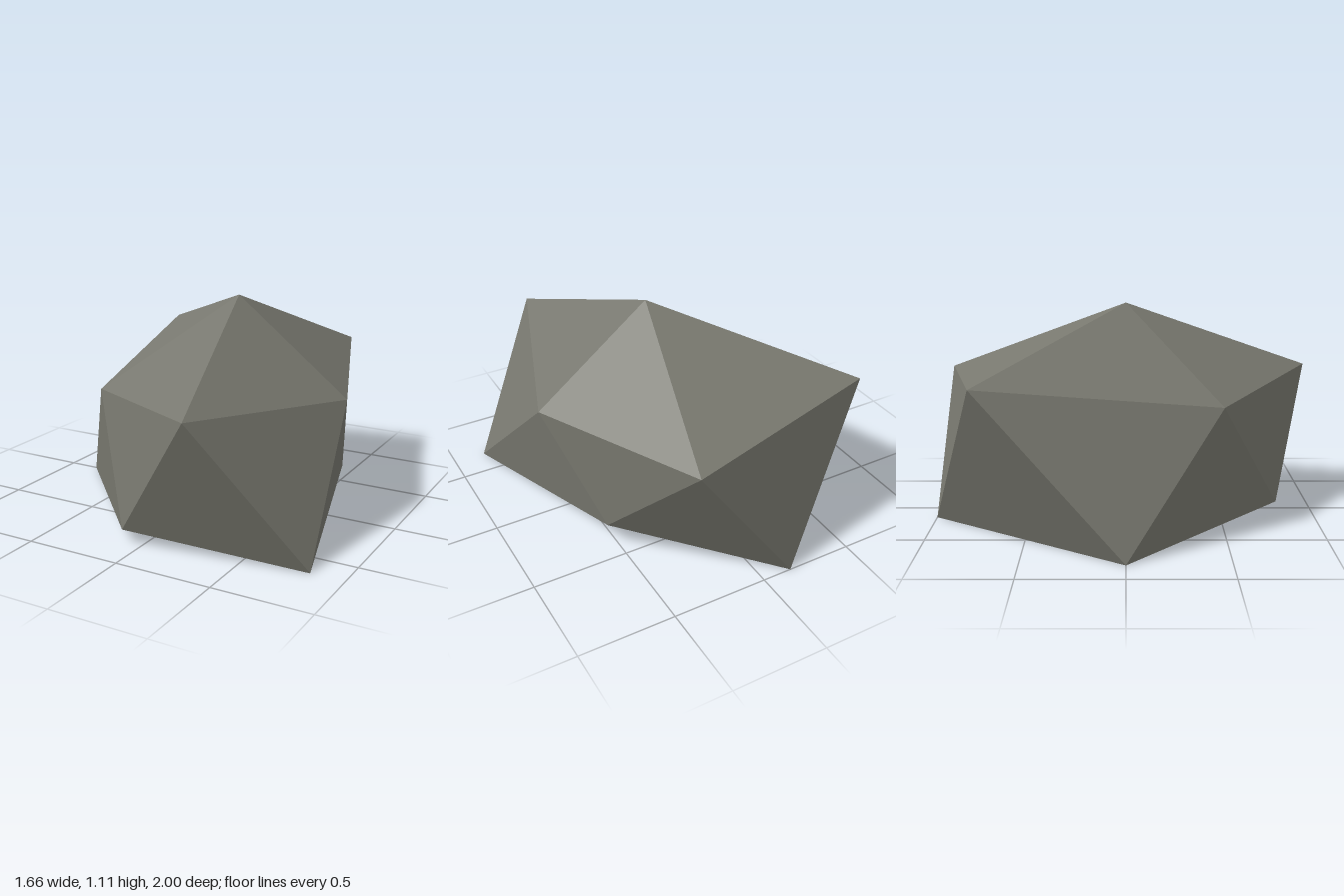
import * as THREE from 'three';

// Faceted boulder: top point, upper ring, staggered lower ring, base point
export function createModel() {
  const group = new THREE.Group();
  group.name = 'boulder';

  const top = [0.11, 1.11, 0];
  const upper = [
    [0.72, 0.635, 0], [0.365, 0.735, 1.0], [-0.425, 0.655, 0.485],
    [-0.7, 0.8, -0.73], [0.355, 0.725, -0.97],
  ];
  const lower = [
    [0.83, 0, 0.66], [-0.1, 0.07, 0.8], [-0.835, 0, 0],
    [-0.155, 0, -1.0], [0.55, 0.13, -0.4],
  ];
  const base = [0.11, 0, 0];

  // Each ring step adds a cap face, two side faces and a base face
  const positions = [];
  const face = (a, b, c) => positions.push(...a, ...b, ...c);
  for (let i = 0; i < 5; i++) {
    const j = (i + 1) % 5;
    face(top, upper[j], upper[i]);
    face(upper[i], upper[j], lower[i]);
    face(lower[i], upper[j], lower[j]);
    face(lower[i], lower[j], base);
  }

  const geometry = new THREE.BufferGeometry();
  geometry.setAttribute('position', new THREE.Float32BufferAttribute(positions, 3));
  geometry.computeVertexNormals();

  const stone = new THREE.MeshStandardMaterial({ color: 0x78786f, flatShading: true });
  stone.name = 'stone grey';
  const rock = new THREE.Mesh(geometry, stone);
  rock.name = 'rock';
  group.add(rock);
  return group;
}
